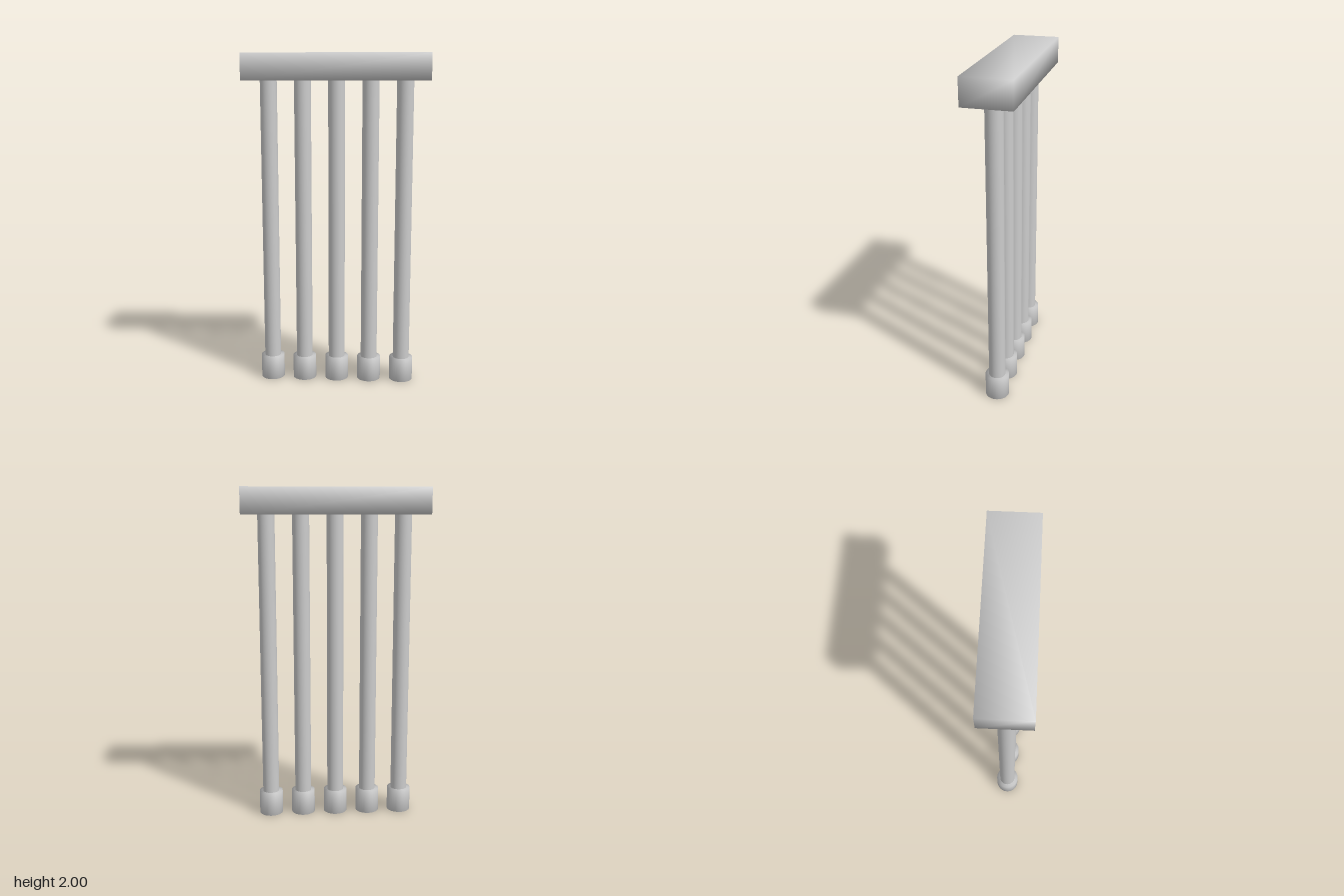
import * as THREE from 'three';
import { mergeVertices } from 'three/addons/utils/BufferGeometryUtils.js';

// Weld corners so shading runs smoothly across every edge
function welded(geometry) {
  geometry.deleteAttribute('normal');
  geometry.deleteAttribute('uv');
  const result = mergeVertices(geometry, 1e-4);
  result.computeVertexNormals();
  return result;
}

export function createModel() {
  const model = new THREE.Group();
  model.name = 'pipeRack';

  const grey = new THREE.MeshStandardMaterial({ color: 0xcccccc });
  grey.name = 'lightGrey';

  const add = (name, geometry, x, y) => {
    const mesh = new THREE.Mesh(geometry, grey);
    mesh.name = name;
    mesh.position.set(x, y, 0);
    model.add(mesh);
  };

  // Top beam
  add('topBeam', welded(new THREE.BoxGeometry(1.09, 0.155, 0.282)), 0, 1.9225);

  // Five upright pipes, each ending in a wider foot
  const pipe = new THREE.CylinderGeometry(0.05, 0.05, 1.78, 32);
  const foot = welded(new THREE.CylinderGeometry(0.072, 0.072, 0.143, 32));
  for (let i = -2; i <= 2; i++) {
    add('pipe', pipe, i * 0.202, 0.99);
    add('foot', foot, i * 0.202, 0.0715);
  }

  return model;
}
